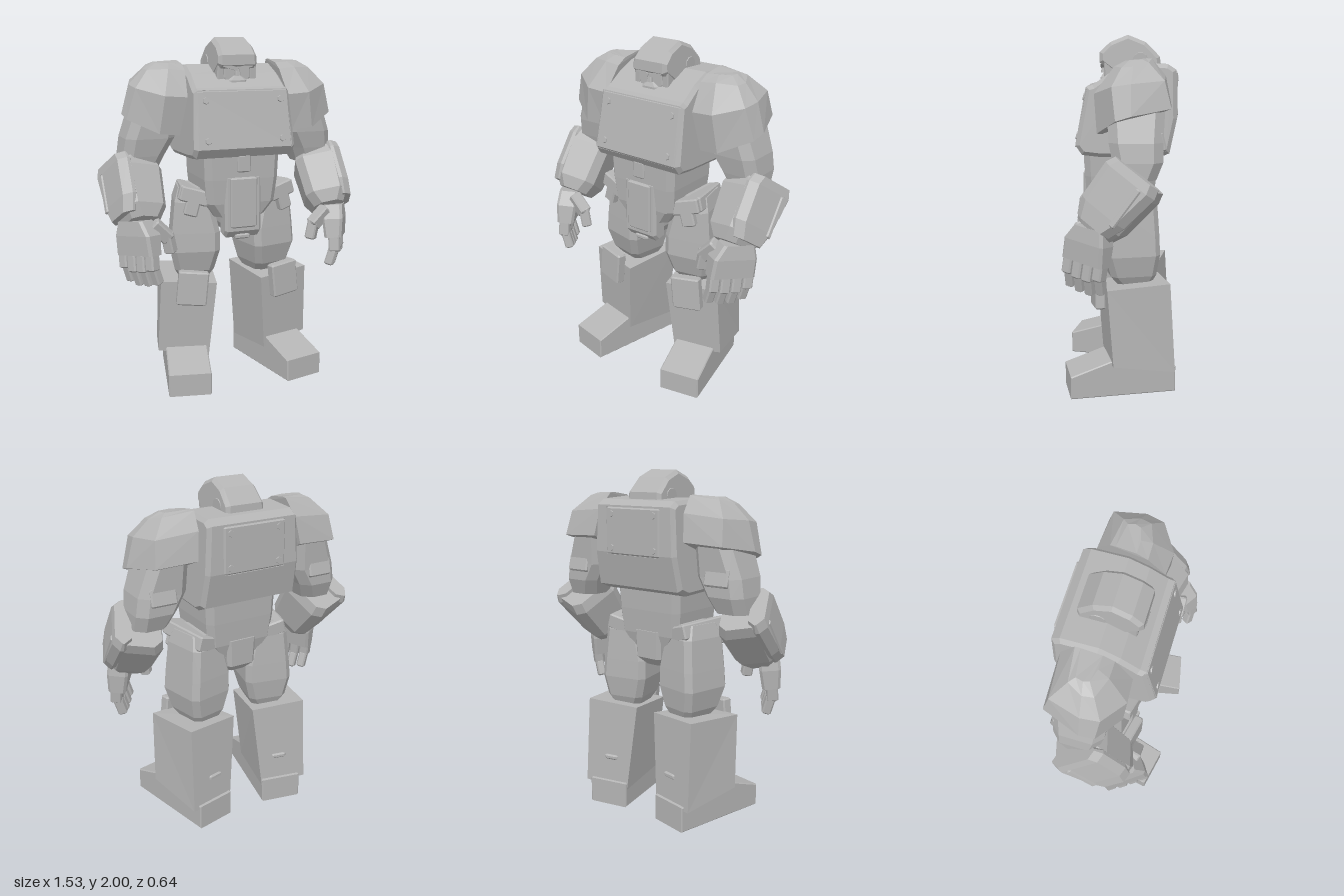
import * as THREE from 'three';

const V = (x, y, z) => new THREE.Vector3(x, y, z);
const armour = new THREE.MeshStandardMaterial({ color: 0xb4b4b4, flatShading: true });
armour.name = 'armour grey';

// Closed solid through rings of equal point count; winding is fixed by its volume
function loft(rings) {
  const tris = [], n = rings[0].length, last = rings.length - 1;
  for (let r = 0; r < last; r++) for (let i = 0; i < n; i++) {
    const j = (i + 1) % n, a = rings[r], b = rings[r + 1];
    tris.push([a[i], a[j], b[j]], [a[i], b[j], b[i]]);
  }
  for (let i = 1; i < n - 1; i++) {
    tris.push([rings[0][0], rings[0][i + 1], rings[0][i]]);
    tris.push([rings[last][0], rings[last][i], rings[last][i + 1]]);
  }
  const c = rings[0][0];
  let vol = 0;
  for (const [p, q, s] of tris) vol += p.clone().sub(c).dot(q.clone().sub(c).cross(s.clone().sub(c)));
  const pts = tris.flatMap(([p, q, s]) => (vol < 0 ? [p, s, q] : [p, q, s]));
  return new THREE.BufferGeometry().setFromPoints(pts);
}
const ring = (rows) => rows.map((p) => V(...p));

// Upright block of chamfered rectangles: rows are [y, halfX, halfZ, centreX, centreZ]
function block(rows, c = 0.02) {
  return loft(rows.map(([y, hx, hz, cx = 0, cz = 0]) =>
    [[hx, hz - c], [hx - c, hz], [c - hx, hz], [-hx, hz - c], [-hx, c - hz], [c - hx, -hz], [hx - c, -hz], [hx, c - hz]]
      .map(([x, z]) => V(cx + x, y, cz + z))));
}

// Side profile of [z, y] points stretched across x with bevelled edges
function across(profile, width, bevel = 0.012) {
  const shape = new THREE.Shape(profile.map(([z, y]) => new THREE.Vector2(z, y)));
  return new THREE.ExtrudeGeometry(shape, {
    depth: width - 2 * bevel, bevelEnabled: true, bevelThickness: bevel, bevelSize: bevel, bevelOffset: -bevel, bevelSegments: 1,
  }).translate(0, 0, bevel - width / 2).rotateY(-Math.PI / 2);
}

// Narrow a shape toward its top: x shrinks by `rate` per unit of height above y0
function taper(geo, y0, rate) {
  const p = geo.attributes.position;
  for (let i = 0; i < p.count; i++) p.setX(i, p.getX(i) * (1 - rate * (p.getY(i) - y0)));
  return geo;
}

const slab = (w, h, d, c = 0.008) => block([[-h / 2, w / 2 - c, d / 2 - c], [c - h / 2, w / 2, d / 2],
  [h / 2 - c, w / 2, d / 2], [h / 2, w / 2 - c, d / 2 - c]], c);

// Placement from an origin, an up axis and an outward axis
function frame(origin, up, out) {
  const y = up.clone().normalize();
  const x = out.clone().addScaledVector(y, -out.dot(y)).normalize();
  return new THREE.Matrix4().makeBasis(x, y, x.clone().cross(y)).setPosition(origin);
}

function mirrored(geo) {
  const g = geo.index ? geo.toNonIndexed() : geo.clone(), p = g.attributes.position;
  for (let i = 0; i < p.count; i += 3) {
    const [a, b, c] = [0, 1, 2].map((k) => V().fromBufferAttribute(p, i + k));
    [a, c, b].forEach((v, k) => p.setXYZ(i + k, -v.x, v.y, v.z));
  }
  return g;
}

export function createModel() {
  const model = new THREE.Group();
  model.name = 'armouredFigure';
  const put = (name, geo) => {
    geo.computeVertexNormals();
    const mesh = new THREE.Mesh(geo, armour);
    mesh.name = name;
    model.add(mesh);
  };
  const pair = (name, geo, matrix) => {
    if (matrix) geo.applyMatrix4(matrix);
    put('left' + name, geo);
    put('right' + name, mirrored(geo));
  };
  const rivet = () => new THREE.CylinderGeometry(0.018, 0.022, 0.012, 6).rotateX(Math.PI / 2);

  // Torso with front and back plates
  put('torso', taper(across([[0.12, 1.34], [0.21, 1.35], [0.245, 1.4], [0.185, 1.72], [0.15, 1.73], [0.05, 1.8], [-0.06, 1.85],
    [-0.26, 1.84], [-0.305, 1.81], [-0.31, 1.55], [-0.27, 1.36], [-0.2, 1.33]], 0.605, 0.022), 1.35, 0.2));
  const chest = new THREE.Matrix4().makeRotationX(-0.185).setPosition(0, 1.555, 0.212);
  put('chestPlate', taper(slab(0.545, 0.33, 0.014), 0, 0.1).applyMatrix4(chest));
  put('backPlate', slab(0.38, 0.26, 0.016).translate(0, 1.67, -0.308));
  for (const dy of [-0.11, 0.11]) {
    pair('ChestRivet', rivet().translate(0.22, dy, 0.008), chest);
    pair('BackRivet', rivet().rotateY(Math.PI).translate(0.15, 1.67 + dy * 0.85, -0.314));
  }

  // Head: helmet, face, brows, muzzle and ears
  put('helmet', taper(across([[0.1, 1.835], [0.12, 1.85], [0.118, 1.905], [0.06, 1.96], [-0.04, 2], [-0.14, 1.96],
    [-0.22, 1.88], [-0.225, 1.8], [0, 1.76]], 0.234, 0.02), 1.85, 0.6));
  put('face', block([[1.73, 0.075, 0.1], [1.78, 0.09, 0.1], [1.87, 0.09, 0.1]], 0.02).translate(0, 0, -0.005));
  put('muzzle', block([[1.725, 0.06, 0.04], [1.765, 0.055, 0.04], [1.79, 0.03, 0.025]], 0.015).translate(0, 0, 0.075));
  put('nose', block([[1.79, 0.016, 0.02], [1.85, 0.01, 0.012]], 0.005).translate(0, 0, 0.095));
  pair('Brow', new THREE.BoxGeometry(0.085, 0.02, 0.03).rotateZ(0.28).translate(0.045, 1.838, 0.1));
  pair('Cheek', across([[0.09, 1.76], [0.095, 1.86], [-0.06, 1.88], [-0.06, 1.76], [0.05, 1.735]], 0.04, 0.006).translate(0.095, 0, 0));
  pair('Ear', new THREE.CylinderGeometry(0.042, 0.048, 0.016, 10).rotateZ(-Math.PI / 2).translate(0.11, 1.86, -0.11));

  // Waist, pelvis and front plate
  put('waist', block([[1.0, 0.15, 0.17], [1.08, 0.205, 0.19], [1.22, 0.22, 0.2], [1.37, 0.225, 0.205]], 0.035));
  put('crotch', block([[0.89, 0.06, 0.14], [0.94, 0.088, 0.195], [1.1, 0.095, 0.2]], 0.02));
  put('frontPlate', across([[0.1, 0.89], [0.17, 0.88], [0.205, 0.92], [0.205, 1.23], [0.12, 1.25]], 0.22, 0.015));
  put('frontInset', slab(0.16, 0.29, 0.02).translate(0, 1.085, 0.206));
  put('beltTab', slab(0.08, 0.1, 0.03).translate(0, 1.31, 0.2));
  put('lowerStud', slab(0.09, 0.03, 0.05).translate(0, 0.885, 0.17));

  // Legs, turned outward
  const out = V(Math.cos(0.21), 0, -Math.sin(0.21)), up = V(0, 1, 0);
  const thigh = frame(V(0.225, 0, -0.05), up, out);
  pair('Thigh', block([[0.62, 0.09, 0.1, 0, -0.02], [0.67, 0.115, 0.13, 0, -0.01], [0.79, 0.142, 0.155, -0.003],
    [0.9, 0.138, 0.152, -0.008], [1.08, 0.108, 0.142, 0.005], [1.16, 0.07, 0.115, 0.02]], 0.032), thigh);
  const hip = frame(V(0.23, 1.115, -0.04), V(-0.28, 1, 0), out);
  pair('HipGuard', slab(0.18, 0.085, 0.31), hip);
  pair('HipBar', slab(0.165, 0.085, 0.05).translate(0, 0, 0.16), hip);
  pair('HipTab', slab(0.08, 0.12, 0.05).translate(0, -0.055, 0.16), hip);
  const shin = frame(V(0.262, 0, -0.09), up, out);
  pair('Shin', loft([
    ring([[0.18, 0.19, 0.165], [-0.12, 0.14, 0.165], [-0.11, 0.11, -0.19], [0.17, 0.13, -0.19]]),
    ring([[0.158, 0.625, 0.195], [-0.167, 0.6, 0.195], [-0.167, 0.63, -0.16], [0.158, 0.645, -0.16]]),
  ]), shin);
  pair('CalfLatch', slab(0.09, 0.03, 0.03).translate(0, 0.3, -0.175), shin);
  pair('KneeGuard', slab(0.175, 0.2, 0.06), frame(V(0.285, 0.585, 0.125), V(-0.1, 1, 0), out));
  pair('Foot', across([[-0.3, 0], [0.3, 0], [0.3, 0.13], [0.06, 0.21], [-0.05, 0.215], [-0.3, 0.15]], 0.245, 0.006),
    frame(V(0.295, 0, 0.0025), up, out));

  // Shoulder guards
  pair('ShoulderGuard', loft([
    ring([[0.34, 1.47, 0.1], [0.46, 1.485, 0.12], [0.62, 1.56, 0.02], [0.63, 1.585, -0.06], [0.56, 1.62, -0.265], [0.32, 1.63, -0.275]]),
    ring([[0.3, 1.68, 0.125], [0.43, 1.69, 0.135], [0.57, 1.73, 0.04], [0.585, 1.745, -0.06], [0.54, 1.76, -0.23], [0.3, 1.78, -0.245]]),
    ring([[0.285, 1.82, 0.03], [0.38, 1.83, 0.03], [0.49, 1.825, -0.01], [0.5, 1.83, -0.07], [0.46, 1.85, -0.15], [0.285, 1.87, -0.17]]),
    ring([[0.285, 1.855, -0.03], [0.36, 1.86, -0.03], [0.43, 1.862, -0.05], [0.44, 1.865, -0.08], [0.43, 1.865, -0.12], [0.285, 1.872, -0.14]]),
  ]));

  // Upper arms and elbows
  pair('UpperArm', block([[1.26, 0.1, 0.1, 0.54, -0.09], [1.35, 0.12, 0.13, 0.52, -0.095], [1.45, 0.14, 0.14, 0.485, -0.085],
    [1.62, 0.115, 0.15, 0.45, -0.085]], 0.05));
  pair('ElbowBand', slab(0.15, 0.1, 0.06).rotateX(0.25).translate(0.5, 1.45, -0.205));

  // Forearms with wrapped outer plate and strip
  const forearm = frame(V(0.58, 1.155, 0.005), V(0, 0.3, -0.22), V(0.92, 0, 0.4));
  pair('Forearm', block([[-0.2, 0.09, 0.105], [-0.13, 0.125, 0.135], [0.1, 0.135, 0.155, 0, -0.01],
    [0.16, 0.115, 0.14, 0, -0.015]], 0.045), forearm);
  pair('ForearmPlate', block([[-0.17, 0.045, 0.105], [-0.08, 0.05, 0.14], [0.13, 0.05, 0.16, 0, -0.015],
    [0.18, 0.045, 0.14, 0, -0.02]], 0.04).translate(0.097, 0, 0), forearm);
  pair('ForearmStrip', slab(0.02, 0.24, 0.035).translate(0.144, 0.01, -0.09), forearm);

  // Hands: palm, four curled fingers and a thumb
  const hand = frame(V(0.605, 0.92, 0.16), V(0, 1, -0.15), V(0.83, 0, 0.56));
  pair('Palm', block([[-0.09, 0.05, 0.13], [0.02, 0.06, 0.125], [0.1, 0.055, 0.09, 0, -0.015]], 0.015), hand);
  for (let i = 0; i < 4; i++) {
    const z = -0.1 + i * 0.066, drop = [0.02, 0, 0, 0.01][i];
    pair('Knuckle', slab(0.065, 0.1, 0.058).translate(0.005, -0.135 + drop, z), hand);
    pair('Fingertip', slab(0.052, 0.1, 0.05).rotateZ(-0.35).translate(-0.02, -0.215 + drop, z), hand);
  }
  pair('ThumbBase', slab(0.07, 0.13, 0.075), frame(V(0.485, 0.96, 0.195), V(0.07, 0.07, 0), V(0.4, 0, 1)));
  pair('ThumbTip', slab(0.06, 0.12, 0.06), frame(V(0.44, 0.89, 0.195), V(0.02, 0.1, 0), V(0.7, 0, 0.7)));

  return model;
}
